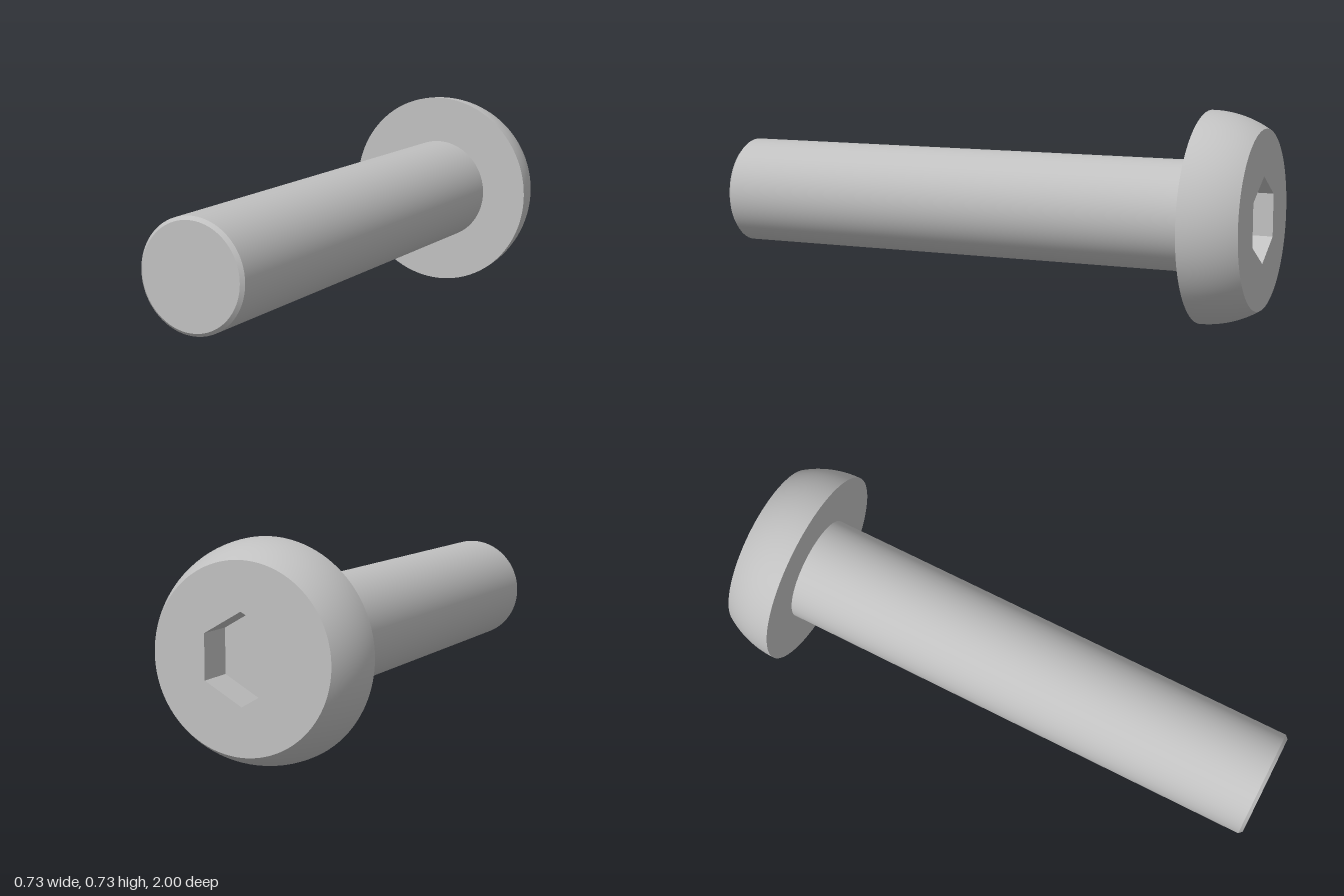
import * as THREE from 'three';

const SEG = 96;
const HEAD_R = 0.367, FLAT_R = 0.31, SHANK_R = 0.193, HEX_R = 0.15;
const BACK = -1, SEAT = -0.807, FRONT = 1, CHAMFER = 0.012, SOCKET = 0.133;

export function createModel() {
  const steel = new THREE.MeshStandardMaterial({ color: 0xc0c0c0 });
  steel.name = 'steel';
  const bolt = new THREE.Group();
  bolt.name = 'bolt';
  bolt.position.y = HEAD_R;

  const add = (name, geometry) => {
    const mesh = new THREE.Mesh(geometry, steel);
    mesh.name = name;
    bolt.add(mesh);
  };
  // Surface of revolution about z from [radius, z] points, listed back to front
  const turned = (points, sides = SEG) =>
    new THREE.LatheGeometry(points.map(([r, z]) => new THREE.Vector2(r, z)), sides).rotateX(Math.PI / 2);

  // Domed head side: an arc that meets the seat parallel to the axis
  const h = SEAT - BACK, sag = HEAD_R - FLAT_R;
  const R = (h * h + sag * sag) / (2 * sag);
  const sweep = Math.asin(h / R);
  const dome = [];
  for (let i = 0; i <= 16; i++) {
    const a = sweep * (1 - i / 16);
    dome.push([HEAD_R - R + R * Math.cos(a), SEAT - R * Math.sin(a)]);
  }
  add('headDome', turned(dome));
  add('headUnderside', turned([[HEAD_R, SEAT], [SHANK_R, SEAT]]));

  // Flat back of the head with a hexagonal opening
  const disc = new THREE.Shape().absarc(0, 0, FLAT_R, 0, Math.PI * 2);
  const hex = [];
  for (let i = 0; i < 6; i++) {
    const a = Math.PI / 2 - i * Math.PI / 3;
    hex.push(new THREE.Vector2(HEX_R * Math.cos(a), HEX_R * Math.sin(a)));
  }
  disc.holes.push(new THREE.Path(hex));
  add('headBack', new THREE.ShapeGeometry(disc, SEG).rotateY(Math.PI).translate(0, 0, BACK));

  // Hex socket: inward-facing walls and a floor
  const walls = turned([[HEX_R, BACK + SOCKET], [HEX_R, BACK]], 6).toNonIndexed();
  walls.computeVertexNormals();
  add('socketWalls', walls);
  add('socketFloor', new THREE.CircleGeometry(HEX_R, 6, Math.PI / 2)
    .rotateY(Math.PI).translate(0, 0, BACK + SOCKET));

  // Shank with a chamfered tip
  const tipR = SHANK_R - CHAMFER;
  add('shank', turned([[SHANK_R, SEAT], [SHANK_R, FRONT - CHAMFER]]));
  add('tipChamfer', turned([[SHANK_R, FRONT - CHAMFER], [tipR, FRONT]]));
  add('tipFace', new THREE.CircleGeometry(tipR, SEG).translate(0, 0, FRONT));

  const model = new THREE.Group();
  model.add(bolt);
  return model;
}
